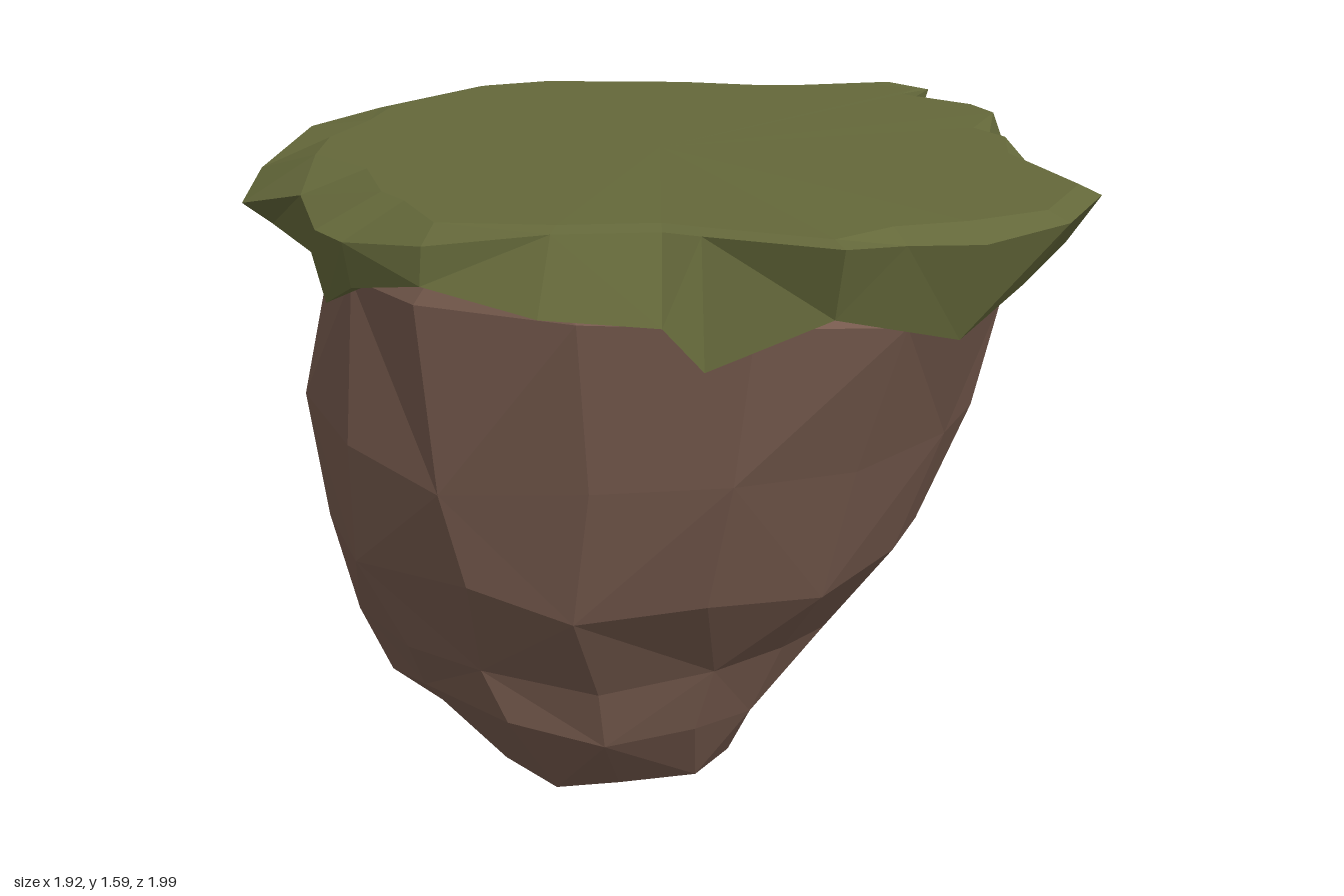
import * as THREE from 'three';

const rockBrown = new THREE.MeshStandardMaterial({ color: 0x775b4e });
rockBrown.name = 'rockBrown';
const grassGreen = new THREE.MeshStandardMaterial({ color: 0x64683a, side: THREE.DoubleSide });
grassGreen.name = 'grassGreen';

// Small seeded generator for chipped edges
function seeded(seed) {
  return () => {
    seed = (seed * 16807) % 2147483647;
    return seed / 2147483647;
  };
}

// Faceted skin over stacked loops, top to bottom, closed by a top point and an optional bottom point
function loft(loops, top, bottom) {
  const out = [], n = loops[0].length, last = loops[loops.length - 1];
  for (let i = 0; i < n; i++) {
    const j = (i + 1) % n;
    out.push(...top, ...loops[0][j], ...loops[0][i]);
    for (let r = 0; r < loops.length - 1; r++) {
      const a = loops[r], b = loops[r + 1];
      if ((i + r) % 2) out.push(...a[j], ...b[j], ...b[i], ...a[j], ...b[i], ...a[i]);
      else out.push(...a[j], ...b[j], ...a[i], ...b[j], ...b[i], ...a[i]);
    }
    if (bottom) out.push(...last[j], ...bottom, ...last[i]);
  }
  const geometry = new THREE.BufferGeometry();
  geometry.setAttribute('position', new THREE.Float32BufferAttribute(out, 3));
  geometry.computeVertexNormals();
  return geometry;
}

// Rock body: height, then reach in eight directions turning from +x through +z
const ROCK = [
  [1.50, 0.70, 0.82, 0.78, 0.76, 0.68, 0.76, 0.78, 0.72],
  [1.36, 0.75, 0.91, 0.87, 0.84, 0.75, 0.84, 0.85, 0.80],
  [1.00, 0.70, 0.77, 0.80, 0.84, 0.83, 0.84, 0.80, 0.79],
  [0.73, 0.61, 0.65, 0.71, 0.80, 0.79, 0.75, 0.75, 0.59],
  [0.50, 0.42, 0.46, 0.54, 0.67, 0.73, 0.64, 0.50, 0.44],
  [0.34, 0.30, 0.34, 0.50, 0.64, 0.66, 0.56, 0.37, 0.34],
  [0.15, 0.18, 0.22, 0.39, 0.45, 0.44, 0.38, 0.24, 0.22],
  [0.04, 0.07, 0.10, 0.14, 0.20, 0.17, 0.16, 0.11, 0.10],
];

function buildRock() {
  const rand = seeded(71), sides = 16;
  const loops = ROCK.map(([y, ...reach], r) => Array.from({ length: sides }, (_, i) => {
    const h = i >> 1;
    const base = i % 2 ? (reach[h] + reach[(h + 1) % 8]) / 2 : reach[h];
    const k = base * (1 + (rand() - 0.5) * 0.03);
    const a = (i + (rand() - 0.5) * 0.3) / sides * Math.PI * 2;
    const lift = r === 0 ? 0 : (rand() - 0.5) * Math.min(0.07, y * 0.4);
    return [Math.cos(a) * k, y + lift, Math.sin(a) * k];
  }));
  return loft(loops, [0, 1.5, 0], [-0.02, 0, 0.03]);
}

// Grass rim: x, z, rim height, lip scale, lip height
const RIM = [
  [-0.31, -1.0, 1.57, 0.93, 1.33], [-0.13, -0.99, 1.58, 0.94, 1.43],
  [0.23, -0.91, 1.58, 0.95, 1.38], [0.48, -0.86, 1.57, 0.97, 1.32],
  [0.78, -0.81, 1.58, 0.94, 1.42], [0.87, -0.73, 1.57, 0.94, 1.46],
  [0.80, -0.65, 1.56, 0.96, 1.36], [0.94, -0.46, 1.49, 0.96, 1.43],
  [0.96, -0.33, 1.47, 0.97, 1.44], [0.84, -0.13, 1.55, 0.96, 1.38],
  [0.88, 0.0, 1.53, 0.95, 1.38], [0.82, 0.2, 1.56, 0.97, 1.37],
  [0.86, 0.57, 1.56, 0.93, 1.45], [0.70, 0.81, 1.56, 0.91, 1.42],
  [0.50, 0.88, 1.54, 0.94, 1.33], [0.33, 0.90, 1.55, 0.96, 1.37],
  [0.18, 0.99, 1.57, 0.96, 1.42], [-0.07, 0.83, 1.57, 1.08, 1.31],
  [-0.14, 0.78, 1.57, 1.13, 1.40], [-0.36, 0.76, 1.57, 1.11, 1.42],
  [-0.61, 0.69, 1.54, 1.01, 1.46], [-0.76, 0.54, 1.52, 0.98, 1.42],
  [-0.81, 0.42, 1.52, 0.98, 1.36], [-0.83, 0.12, 1.53, 0.98, 1.40],
  [-0.96, -0.1, 1.47, 0.93, 1.42], [-0.91, -0.35, 1.50, 0.94, 1.40],
  [-0.78, -0.6, 1.55, 0.98, 1.31], [-0.60, -0.72, 1.57, 0.97, 1.40],
];

// Turf: flat top, sloping shoulder, ragged hanging lip and tucked underside
function buildTurf() {
  const ring = (scale, height) => RIM.map((p) => [p[0] * scale(p), height(p), p[1] * scale(p)]);
  return loft([
    ring((p) => (p[0] < -0.7 ? 0.82 : 0.95), () => 1.58),
    ring(() => 1, (p) => p[2]),
    ring((p) => p[3], (p) => p[4]),
    ring(() => 0.78, () => 1.44),
  ], [0, 1.585, 0]);
}

export function createModel() {
  const island = new THREE.Group();
  island.name = 'floatingIsland';
  const rock = new THREE.Mesh(buildRock(), rockBrown);
  rock.name = 'rockBase';
  const turf = new THREE.Mesh(buildTurf(), grassGreen);
  turf.name = 'grassTop';
  island.add(rock, turf);
  return island;
}
